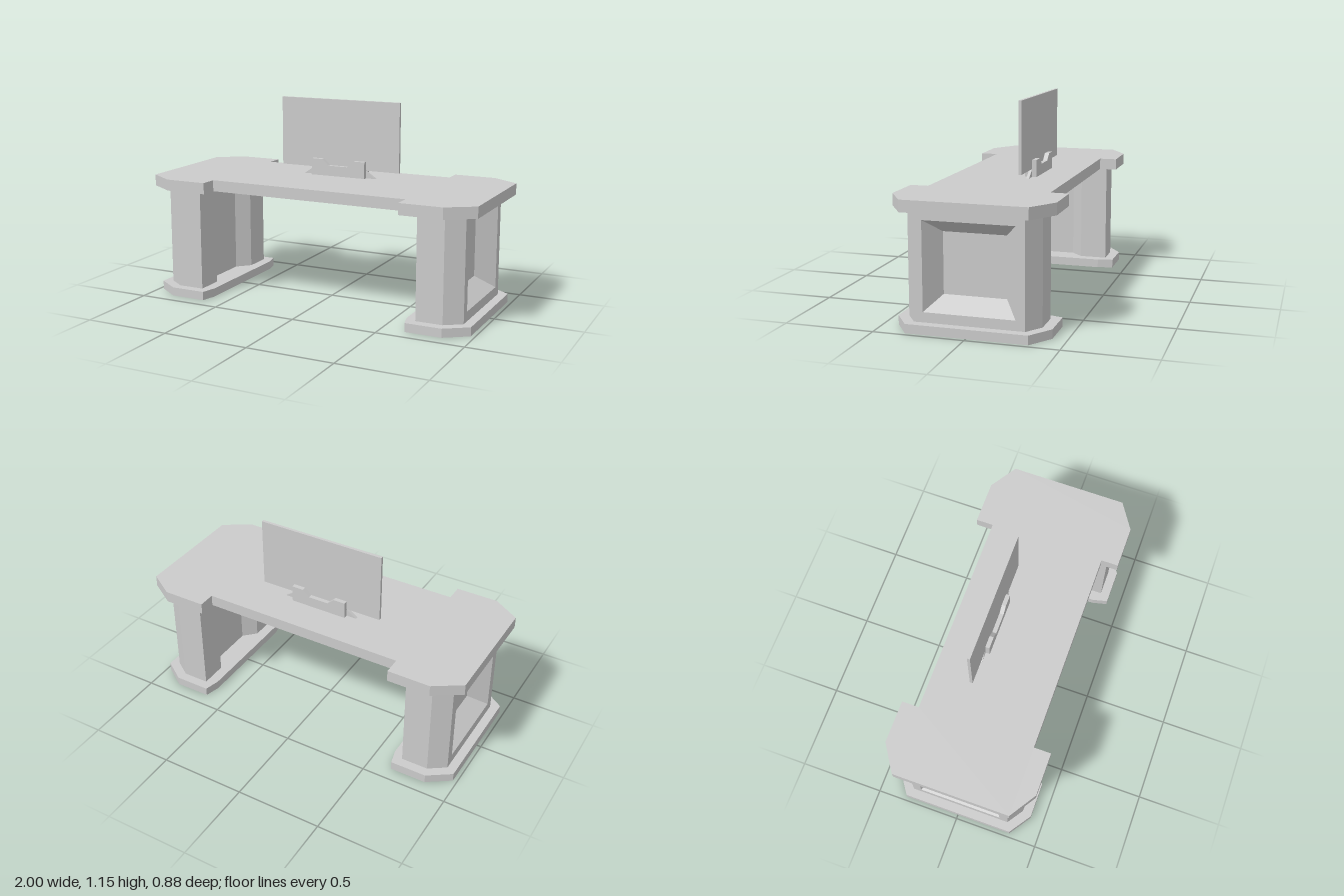
import * as THREE from 'three';

const material = new THREE.MeshStandardMaterial({ color: 0xcccccc, flatShading: true });

function addMesh(parent, name, geometry) {
  const mesh = new THREE.Mesh(geometry, material);
  mesh.name = name;
  parent.add(mesh);
  return mesh;
}

const toShape = (points) => new THREE.Shape(points.map(([a, b]) => new THREE.Vector2(a, b)));

// Closes half a floor plan, given from +z to z = 0 or beyond, by mirroring it in z
const mirrorZ = (half) => [...half, ...half.map(([x, z]) => [x, -z]).reverse()];

// Raises an (x, z) floor plan from y0 to y1
function slab(plan, y0, y1) {
  const geometry = new THREE.ExtrudeGeometry(toShape(plan), { depth: y1 - y0, bevelEnabled: false });
  return geometry.rotateX(-Math.PI / 2).translate(0, y0, 0);
}

// Extrudes an (x, y) outline from z0 to z1
function plate(outline, z0, z1) {
  const geometry = new THREE.ExtrudeGeometry(toShape(outline), { depth: z1 - z0, bevelEnabled: false });
  return geometry.translate(0, 0, z0);
}

// Rectangle facing +x, counter-clockwise as seen from +x
const rectAtX = (x, z, y0, y1) => [[x, y0, z], [x, y0, -z], [x, y1, -z], [x, y1, z]];

// Sloped sides and flat back of the recessed panel
function recessLining(outer, inner) {
  const positions = [];
  const quad = (a, b, c, d) => positions.push(...a, ...b, ...c, ...a, ...c, ...d);
  for (let i = 0; i < 4; i++) {
    const j = (i + 1) % 4;
    quad(outer[i], outer[j], inner[j], inner[i]);
  }
  quad(...inner);
  const geometry = new THREE.BufferGeometry();
  geometry.setAttribute('position', new THREE.Float32BufferAttribute(positions, 3));
  geometry.computeVertexNormals();
  return geometry;
}

function createPedestal(name) {
  const pedestal = new THREE.Group();
  pedestal.name = name;

  // Chamfered foot plate
  const foot = mirrorZ([[0.613, 0.33], [0.635, 0.42], [0.845, 0.42], [0.976, 0.33]].reverse());
  addMesh(pedestal, 'footPlate', slab(foot, 0, 0.05));

  // Body with a shallow channel on its inner side; the middle band is open for the panel
  const half = [[0.925, 0.3], [0.83, 0.365], [0.675, 0.365], [0.675, 0.205], [0.745, 0.135]];
  const slot = [[0.812, 0.25], [0.925, 0.25]];
  addMesh(pedestal, 'bodyBottom', slab(mirrorZ(half), 0.05, 0.105));
  addMesh(pedestal, 'bodyMiddle', slab(mirrorZ([...slot, ...half]), 0.105, 0.59));
  addMesh(pedestal, 'bodyTop', slab(mirrorZ(half), 0.59, 0.64));

  // Recessed outer panel
  addMesh(pedestal, 'recessedPanel',
    recessLining(rectAtX(0.925, 0.25, 0.105, 0.59), rectAtX(0.82, 0.173, 0.18, 0.515)));
  return pedestal;
}

export function createModel() {
  const desk = new THREE.Group();
  desk.name = 'desk';

  // Table top with wide chamfered ends
  const end = [[1, 0.34], [0.845, 0.44], [0.598, 0.44], [0.598, 0.34]];
  const front = [...end, ...end.map(([x, z]) => [-x, z]).reverse()];
  addMesh(desk, 'tableTop', slab(mirrorZ(front), 0.64, 0.705));

  // Pedestals, one turned to face the other way
  desk.add(createPedestal('leftPedestal'));
  const right = createPedestal('rightPedestal');
  right.rotation.y = Math.PI;
  desk.add(right);

  // Monitor: thin screen, flared foot and notched stand
  const monitor = new THREE.Group();
  monitor.name = 'monitor';
  desk.add(monitor);
  addMesh(monitor, 'screen', new THREE.BoxGeometry(0.755, 0.405, 0.017)).position.set(0, 0.9525, -0.109);
  addMesh(monitor, 'flaredFoot',
    plate([[-0.23, 0.705], [0.23, 0.705], [0.165, 0.75], [-0.165, 0.75]], -0.117, -0.101));
  addMesh(monitor, 'stand', plate([
    [-0.17, 0.705], [0.17, 0.705], [0.17, 0.802], [0.1, 0.802],
    [0.06, 0.765], [-0.06, 0.765], [-0.1, 0.802], [-0.17, 0.802],
  ], -0.143, -0.076));

  return desk;
}
